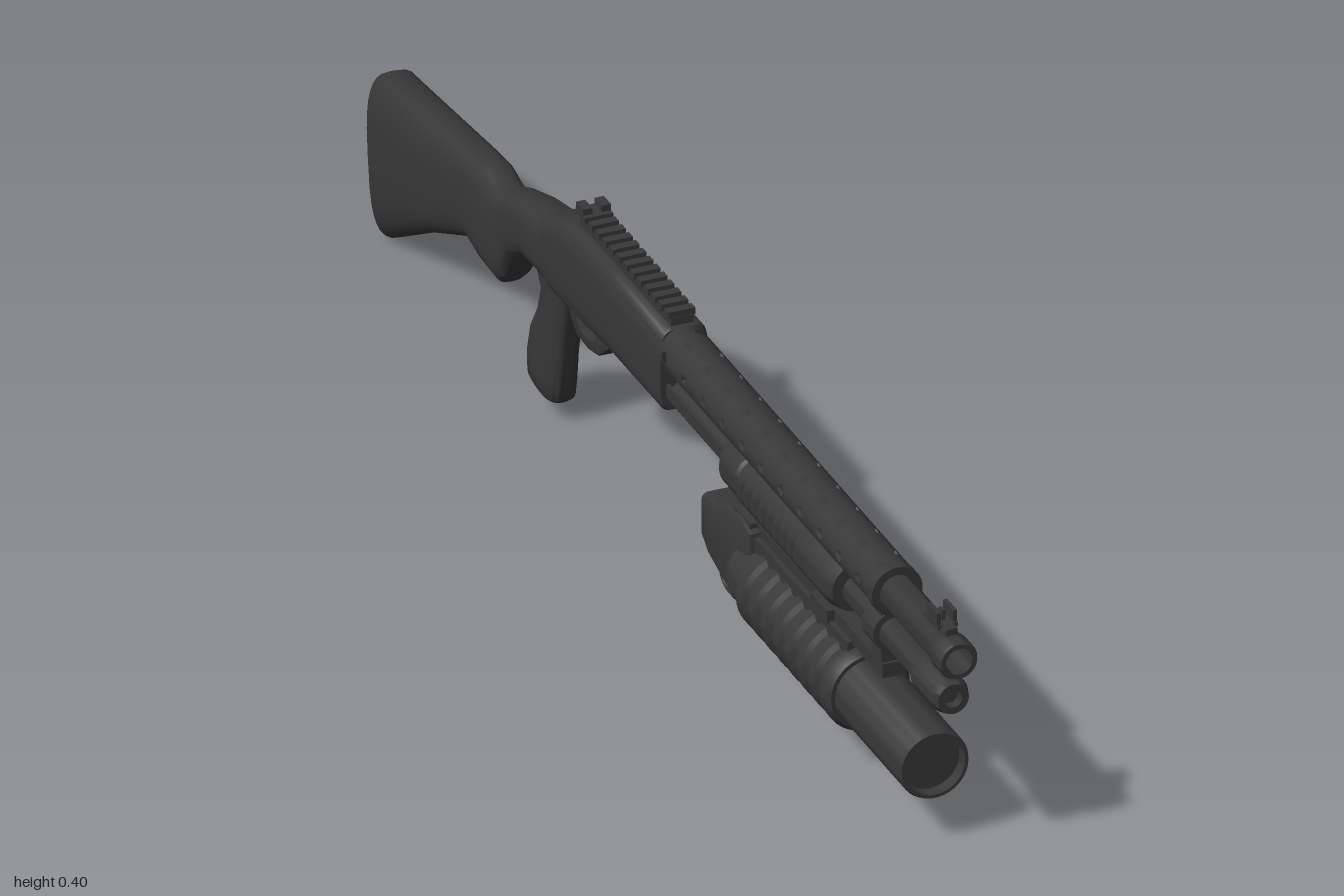
import * as THREE from 'three';
import { toCreasedNormals } from 'three/addons/utils/BufferGeometryUtils.js';

export function createModel() {
  const model = new THREE.Group();
  model.name = 'pumpShotgun';
  const gun = new THREE.Group();
  gun.name = 'gun';
  gun.position.x = -0.006;
  model.add(gun);
  const black = new THREE.MeshStandardMaterial({ color: 0x383838, side: THREE.DoubleSide });
  black.name = 'matte black';

  const add = (name, geo, x = 0, y = 0, z = 0) => {
    const mesh = new THREE.Mesh(geo, black);
    mesh.name = name;
    mesh.position.set(x, y, z);
    gun.add(mesh);
    return mesh;
  };
  const box = (name, w, h, d, x, y, z) => add(name, new THREE.BoxGeometry(w, h, d), x, y, z);

  // Turned part along z, profile given as [radius, z]
  const turned = (name, pts, y, segs = 32) => {
    const geo = new THREE.LatheGeometry(pts.map(p => new THREE.Vector2(p[0], p[1])), segs);
    geo.rotateX(Math.PI / 2);
    return add(name, toCreasedNormals(geo, 0.6), 0, y, 0);
  };

  // Side profile in [z, y], extruded across x with a small bevel
  const plate = (name, pts, width, hole, bevel = 0.004) => {
    const shape = new THREE.Shape(pts.map(p => new THREE.Vector2(p[0], p[1])));
    if (hole) shape.holes.push(new THREE.Path(hole.map(p => new THREE.Vector2(p[0], p[1]))));
    const depth = width - 2 * bevel;
    const geo = new THREE.ExtrudeGeometry(shape, {
      depth, bevelSize: bevel, bevelOffset: -bevel, bevelThickness: bevel, bevelSegments: 2,
    });
    geo.translate(0, 0, -depth / 2);
    geo.rotateY(-Math.PI / 2);
    return add(name, toCreasedNormals(geo, 0.6));
  };

  // Rounded-box cross-sections: [zA, yA, zB, yB, halfWidth], each spanning A to B
  const loft = (name, rows, power = 3, n = 32) => {
    const pos = [], idx = [];
    const ring = ([za, ya, zb, yb, hw]) => {
      for (let j = 0; j < n; j++) {
        const t = (j / n) * Math.PI * 2, c = Math.cos(t), s = Math.sin(t);
        const u = Math.sign(c) * Math.abs(c) ** (2 / power);
        const v = Math.sign(s) * Math.abs(s) ** (2 / power);
        pos.push(u * hw, (ya + yb) / 2 + v * (ya - yb) / 2, (za + zb) / 2 + v * (za - zb) / 2);
      }
    };
    rows.forEach(ring);
    for (let i = 0; i < rows.length - 1; i++) {
      for (let j = 0; j < n; j++) {
        const a = i * n + j, b = i * n + (j + 1) % n;
        idx.push(a, a + n, b, b, a + n, b + n);
      }
    }
    for (let j = 1; j < n - 1; j++) {
      const e = (rows.length - 1) * n;
      idx.push(0, j, j + 1, e, e + j + 1, e + j);
    }
    const geo = new THREE.BufferGeometry();
    geo.setAttribute('position', new THREE.Float32BufferAttribute(pos, 3));
    geo.setIndex(idx);
    return add(name, toCreasedNormals(geo, 0.7));
  };

  const tube = (name, pts, r) => add(name, new THREE.TubeGeometry(
    new THREE.CatmullRomCurve3(pts.map(p => new THREE.Vector3(0, p[1], p[0]))), 24, r, 8));

  // Barrel and magazine tube
  const barrelY = 0.327, magY = 0.258;
  turned('barrel', [[0, 0], [0.026, 0], [0.026, 0.96], [0.029, 0.965], [0.029, 0.995],
    [0.027, 1], [0.02, 1], [0.02, 0.85], [0, 0.85]], barrelY);
  turned('magazineTube', [[0, 0], [0.022, 0], [0.022, 0.89], [0.028, 0.895], [0.028, 0.965],
    [0.023, 0.98], [0.013, 0.98], [0.013, 0.965], [0, 0.965]], magY);

  // Heat shield: bent tiles, each with a vent hole
  const cols = 4, tiles = 11, z0 = 0.03, z1 = 0.78, shieldR = 0.037;
  const halfArc = 0.49, halfLen = (z1 - z0) / tiles / 2;
  for (let c = 0; c < cols; c++) {
    for (let k = 0; k < tiles; k++) {
      const geo = new THREE.PlaneGeometry(1, 1, 24, 1);
      const p = geo.attributes.position, nor = geo.attributes.normal;
      const shift = (c % 2 ? 0.5 : -0.5) * halfLen;
      for (let i = 0; i < p.count; i++) {
        const t = p.getX(i) * Math.PI * 2, cs = Math.cos(t), sn = Math.sin(t);
        const m = Math.max(Math.abs(cs), Math.abs(sn));
        const outer = p.getY(i) > 0;
        const a = (c - 1.5) * 2 * halfArc + (outer ? cs / m * halfArc : cs * 0.0085 / shieldR);
        const z = z0 + (2 * k + 1) * halfLen + (outer ? sn / m * halfLen : sn * 0.0085 + shift);
        p.setXYZ(i, Math.sin(a) * shieldR, Math.cos(a) * shieldR, z);
        nor.setXYZ(i, Math.sin(a), Math.cos(a), 0);
      }
      add('heatShieldTile', geo, 0, barrelY, 0);
    }
  }
  turned('heatShieldBand', [[0.026, 0.765], [0.038, 0.765], [0.038, 0.782], [0.026, 0.782]], barrelY);

  // Front sight
  plate('frontSightBase', [[0.975, 0.345], [0.975, 0.366], [0.91, 0.366], [0.885, 0.345]], 0.02);
  for (const s of [-1, 1]) box('frontSightEar', 0.006, 0.024, 0.035, s * 0.012, 0.372, 0.94);
  box('frontSightShelf', 0.03, 0.006, 0.04, 0, 0.363, 0.94);
  box('frontSightPost', 0.005, 0.016, 0.012, 0, 0.373, 0.94);

  // Barrel clamp
  box('barrelClamp', 0.034, 0.11, 0.035, 0, 0.248, 0.748);
  turned('clampRing', [[0.02, 0.728], [0.031, 0.728], [0.031, 0.77], [0.02, 0.77]], magY);

  // Ribbed pump handle and action bars
  const pump = [[0.02, 0.24], [0.036, 0.24], [0.041, 0.25], [0.041, 0.30]];
  for (let i = 0; i < 9; i++) {
    const z = 0.305 + i * 0.025;
    pump.push([0.037, z], [0.037, z + 0.007], [0.043, z + 0.01], [0.043, z + 0.021]);
  }
  pump.push([0.043, 0.615], [0.037, 0.64], [0.02, 0.64]);
  turned('pumpHandle', pump, 0.262);
  for (const s of [-1, 1]) box('actionBar', 0.005, 0.02, 0.24, s * 0.024, 0.268, 0.13);

  // Receiver and stock
  loft('receiver', [
    [0.03, 0.362, 0.03, 0.236, 0.035], [0.025, 0.365, 0.025, 0.233, 0.038],
    [-0.16, 0.365, -0.16, 0.232, 0.038], [-0.27, 0.364, -0.24, 0.226, 0.038],
    [-0.32, 0.358, -0.29, 0.225, 0.038], [-0.365, 0.343, -0.33, 0.224, 0.038],
    [-0.405, 0.325, -0.365, 0.223, 0.037]], 4.5);
  loft('stock', [
    [-0.40, 0.325, -0.36, 0.222, 0.036], [-0.48, 0.308, -0.475, 0.22, 0.034],
    [-0.54, 0.291, -0.53, 0.19, 0.031], [-0.575, 0.277, -0.555, 0.145, 0.03],
    [-0.60, 0.281, -0.575, 0.128, 0.031], [-0.63, 0.287, -0.635, 0.133, 0.033],
    [-0.67, 0.283, -0.68, 0.147, 0.034], [-0.80, 0.27, -0.82, 0.083, 0.038],
    [-0.985, 0.252, -0.96, 0.003, 0.043], [-1, 0.244, -0.972, 0, 0.041]], 3.2);

  // Pistol grip, trigger and guard
  loft('pistolGrip', [
    [-0.46, 0.235, -0.345, 0.235, 0.027], [-0.438, 0.20, -0.357, 0.192, 0.024],
    [-0.45, 0.16, -0.366, 0.15, 0.025], [-0.476, 0.12, -0.374, 0.11, 0.026],
    [-0.486, 0.08, -0.381, 0.062, 0.027], [-0.483, 0.054, -0.388, 0.034, 0.027],
    [-0.474, 0.046, -0.396, 0.028, 0.022]], 2.6);
  plate('triggerGuard', [[-0.14, 0.24], [-0.20, 0.215], [-0.245, 0.18], [-0.28, 0.173],
    [-0.32, 0.176], [-0.345, 0.195], [-0.36, 0.24]], 0.024,
  [[-0.235, 0.222], [-0.26, 0.19], [-0.285, 0.184], [-0.315, 0.186], [-0.333, 0.205], [-0.335, 0.222]], 0.003);
  tube('trigger', [[-0.295, 0.23], [-0.30, 0.21], [-0.288, 0.191]], 0.004);

  // Top rail and rear sight
  box('topRail', 0.034, 0.016, 0.32, 0, 0.369, -0.135);
  for (let i = 0; i < 13; i++) box('railTooth', 0.04, 0.01, 0.014, 0, 0.381, 0.017 - i * 0.0245);
  box('rearSightBase', 0.042, 0.008, 0.035, 0, 0.383, -0.285);
  for (const s of [-1, 1]) box('rearSightEar', 0.014, 0.016, 0.025, s * 0.014, 0.389, -0.288);

  // Underslung launcher: tube, ribbed grip and mount
  const tubeY = 0.12;
  turned('launcherTube', [[0, 0.3], [0.052, 0.3], [0.052, 0.91], [0.05, 0.915], [0.045, 0.915],
    [0.045, 0.895], [0, 0.895]], tubeY, 40);
  const ribs = [[0.03, 0.32], [0.055, 0.32], [0.056, 0.345]];
  for (let i = 0; i < 8; i++) {
    const z = 0.345 + i * 0.042;
    ribs.push([0.057, z], [0.057, z + 0.016], [0.064, z + 0.02], [0.064, z + 0.036]);
  }
  ribs.push([0.058, 0.685], [0.05, 0.685]);
  turned('launcherGrip', ribs, tubeY, 40);
  box('mountRail', 0.034, 0.022, 0.51, 0, 0.199, 0.515);
  box('mountSaddle', 0.05, 0.03, 0.37, 0, 0.178, 0.48);
  for (const z of [0.3, 0.57]) box('mountClamp', 0.056, 0.02, 0.06, 0, 0.2, z);
  const knob = new THREE.CylinderGeometry(0.01, 0.01, 0.05, 16);
  knob.rotateZ(Math.PI / 2);
  add('mountKnob', knob, 0.051, 0.199, 0.575);

  // Launcher breech and trigger
  plate('launcherBreech', [[0.34, 0.20], [0.30, 0.21], [0.25, 0.20], [0.21, 0.183], [0.17, 0.18],
    [0.165, 0.17], [0.165, 0.115], [0.19, 0.095], [0.24, 0.08], [0.29, 0.072], [0.34, 0.075]], 0.07, null, 0.01);
  tube('launcherTriggerGuard', [[0.28, 0.08], [0.262, 0.052], [0.225, 0.04], [0.19, 0.045],
    [0.173, 0.075], [0.171, 0.12]], 0.006).scale.x = 1.8;
  tube('launcherTrigger', [[0.225, 0.09], [0.23, 0.07], [0.22, 0.055]], 0.005);

  return model;
}
